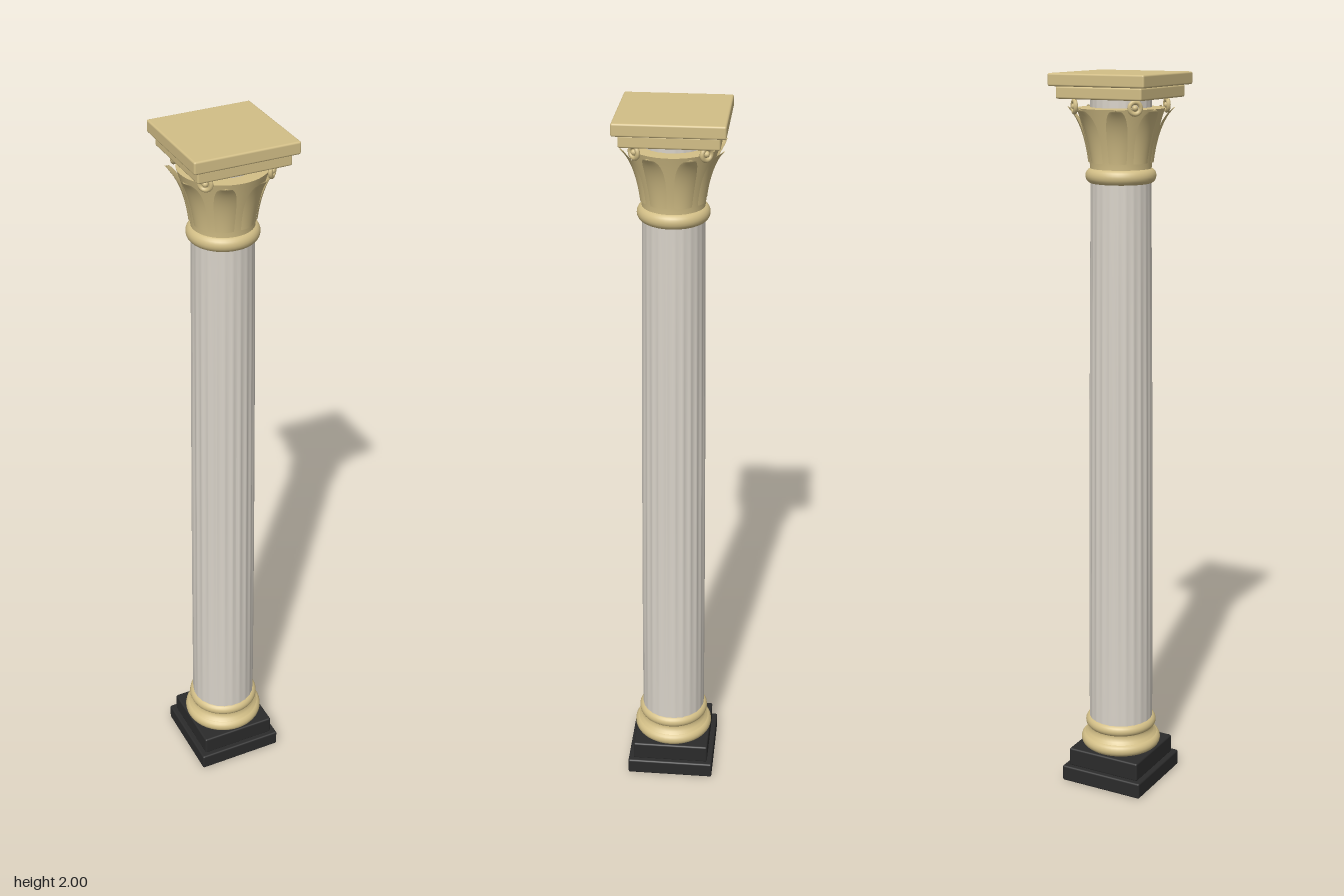
import * as THREE from 'three';
import { RoundedBoxGeometry } from 'three/addons/geometries/RoundedBoxGeometry.js';
import { ParametricGeometry } from 'three/addons/geometries/ParametricGeometry.js';

export function createModel() {
  const column = new THREE.Group();
  column.name = 'column';

  const material = (name, color, side = THREE.FrontSide) => {
    const m = new THREE.MeshStandardMaterial({ color, side });
    m.name = name;
    return m;
  };
  const stone = material('pale stone', 0xd8d2c8);
  const gold = material('gold', 0xd2be86, THREE.DoubleSide);
  const black = material('black stone', 0x2b2b2b);

  const add = (name, geometry, mat, parent = column) => {
    const mesh = new THREE.Mesh(geometry, mat);
    mesh.name = name;
    parent.add(mesh);
    return mesh;
  };

  // Square slabs of the plinth and abacus
  const slab = (name, half, y0, y1, mat) => {
    const g = new RoundedBoxGeometry(half * 2, y1 - y0, half * 2, 2, 0.005);
    add(name, g, mat).position.y = (y0 + y1) / 2;
  };
  slab('lowerPlinth', 0.125, 0, 0.046, black);
  slab('upperPlinth', 0.11, 0.044, 0.098, black);
  slab('lowerAbacus', 0.125, 1.935, 1.967, gold);
  slab('upperAbacus', 0.14, 1.967, 2, gold);

  // Turned mouldings: half-round rings and a hollow between
  const turn = (name, points, mat) =>
    add(name, new THREE.LatheGeometry(points.map(([r, y]) => new THREE.Vector2(r, y)), 48), mat);
  const halfRound = (r, y, h, bulge) => {
    const points = [];
    for (let i = 0; i <= 10; i++) {
      const a = -Math.PI / 2 + (Math.PI * i) / 10;
      points.push([r + bulge * Math.cos(a), y + (h / 2) * Math.sin(a)]);
    }
    return points;
  };
  turn('lowerBaseRing', halfRound(0.094, 0.117, 0.038, 0.02), gold);
  turn('baseHollow', [[0.105, 0.132], [0.096, 0.14], [0.091, 0.15], [0.092, 0.158]], gold);
  turn('upperBaseRing', halfRound(0.084, 0.172, 0.034, 0.017), gold);
  turn('neckRing', halfRound(0.076, 1.735, 0.04, 0.018), gold);

  // Fluted shaft: scalloped cross-section, deepest at mid height
  const flutes = 24, perFlute = 6, y0 = 0.1, y1 = 1.936;
  const shaftGeometry = new THREE.CylinderGeometry(1, 1, y1 - y0, flutes * perFlute, 40);
  shaftGeometry.translate(0, (y0 + y1) / 2, 0);
  const p = shaftGeometry.attributes.position;
  for (let i = 0; i < p.count; i++) {
    const y = p.getY(i);
    const t = THREE.MathUtils.clamp((y - 0.19) / 1.52, 0, 1);
    const a = Math.atan2(p.getX(i), p.getZ(i));
    const radius = 0.091 - 0.01 * Math.pow(t, 1.6);
    const depth = 0.001 + 0.0025 * Math.sin(Math.PI * t);
    const r = Math.hypot(p.getX(i), p.getZ(i)) * (radius - depth * Math.abs(Math.cos((a * flutes) / 2)));
    p.setXYZ(i, r * Math.sin(a), y, r * Math.cos(a));
  }
  shaftGeometry.computeVertexNormals();
  add('shaft', shaftGeometry, stone);

  // Flaring bell of the capital
  const capital = new THREE.Group();
  capital.name = 'capital';
  column.add(capital);
  const bellRadius = (y) => 0.081 + 0.035 * Math.pow(THREE.MathUtils.clamp((y - 1.75) / 0.16, 0, 1), 1.5);
  const bell = [];
  for (let i = 0; i <= 12; i++) {
    const y = 1.745 + (0.165 * i) / 12;
    bell.push([bellRadius(y), y]);
  }
  capital.add(turn('bell', bell, gold));
  capital.add(turn('bellTop', [[0.116, 1.91], [0.078, 1.912]], gold));

  // Acanthus leaf: hugs the bell, then curls outward to a rounded tip
  const leafGeometry = new ParametricGeometry((u, v, target) => {
    const y = 1.77 + 0.15 * v - 0.008 * Math.pow(v, 8);
    const half = 0.031 * Math.sqrt(Math.max(0, 1 - Math.pow(v, 4))) * (0.75 + 0.35 * v);
    const s = u * 2 - 1;
    const r = bellRadius(y) + 0.004 + 0.022 * Math.pow(v, 4) - 0.003 * s * s;
    const a = (s * half) / r;
    target.set(r * Math.sin(a), y, r * Math.cos(a));
  }, 8, 14);
  for (let i = 0; i < 8; i++) {
    add('leaf', leafGeometry, gold, capital).rotation.y = ((i + 0.5) * Math.PI) / 4;
  }

  // Scrolls under the abacus corners
  const scrollRing = new THREE.TorusGeometry(0.015, 0.006, 8, 20);
  const scrollEye = new THREE.SphereGeometry(0.008, 12, 8);
  for (let i = 0; i < 4; i++) {
    const corner = new THREE.Group();
    corner.name = 'cornerScroll';
    corner.rotation.y = ((i + 0.5) * Math.PI) / 2;
    capital.add(corner);
    add('scrollRing', scrollRing, gold, corner).position.set(0, 1.915, 0.126);
    add('scrollEye', scrollEye, gold, corner).position.set(0, 1.915, 0.126);
  }
  return column;
}
